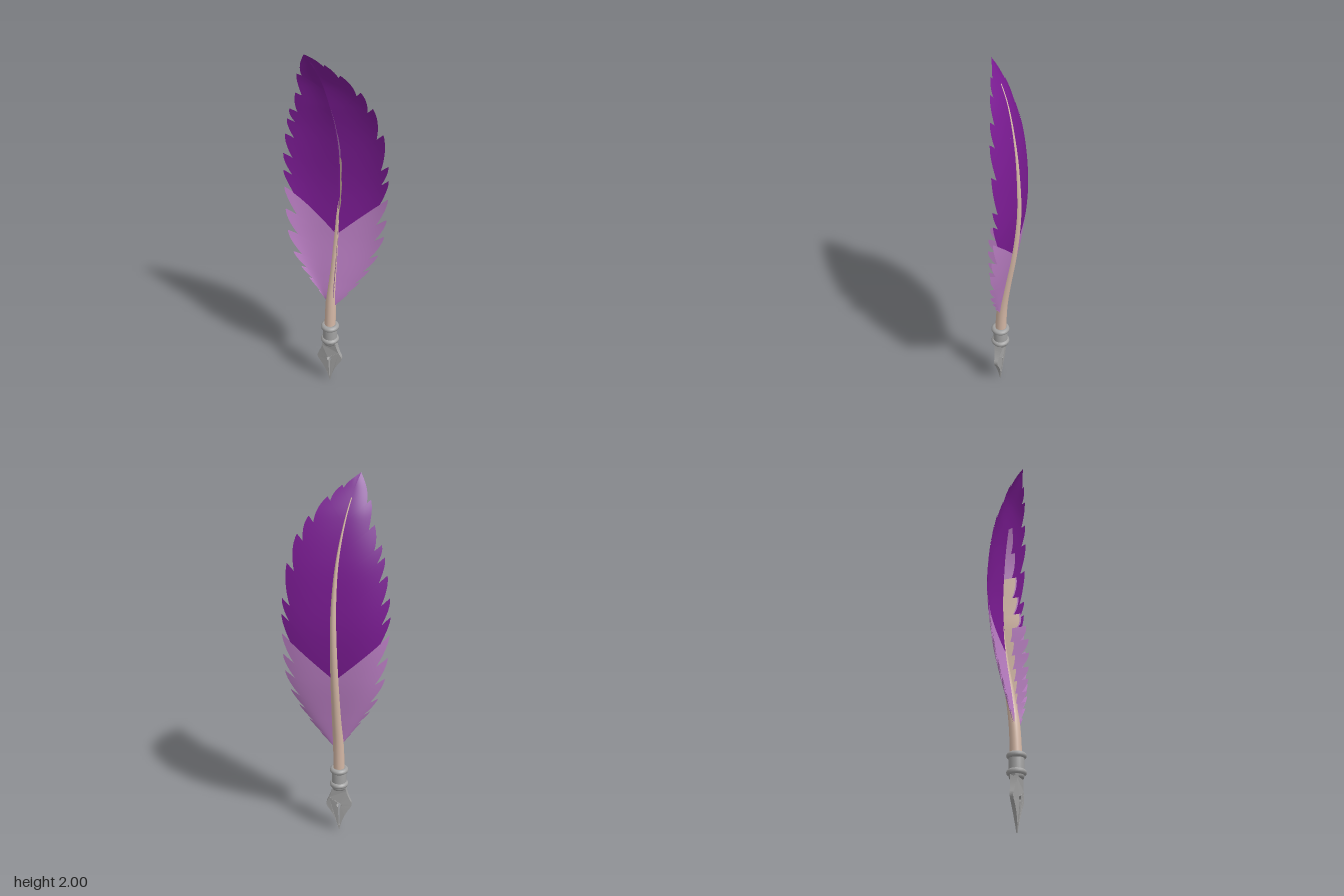
import * as THREE from 'three';
import { mergeGeometries, mergeVertices } from 'three/addons/utils/BufferGeometryUtils.js';

// Smooth lookup in rows [key, a, b, ...]
function sample(rows, k) {
  let i = 0;
  while (i < rows.length - 2 && k > rows[i + 1][0]) i++;
  const p = rows[i], q = rows[i + 1];
  const o = rows[Math.max(i - 1, 0)], r = rows[Math.min(i + 2, rows.length - 1)];
  const h = q[0] - p[0], t = THREE.MathUtils.clamp((k - p[0]) / h, 0, 1);
  return p.slice(1).map((v, n) => {
    const c = n + 1;
    const m0 = h * (q[c] - o[c]) / (q[0] - o[0]), m1 = h * (r[c] - v) / (r[0] - p[0]);
    const t2 = t * t, t3 = t2 * t;
    return (2 * t3 - 3 * t2 + 1) * v + (t3 - 2 * t2 + t) * m0 + (3 * t2 - 2 * t3) * q[c] + (t3 - t2) * m1;
  });
}

// Grid surface from point(u, v)
function sheet(nu, nv, point) {
  const pos = [], idx = [];
  for (let i = 0; i <= nu; i++) {
    for (let j = 0; j <= nv; j++) pos.push(...point(i / nu, j / nv));
  }
  for (let i = 0; i < nu; i++) {
    for (let j = 0; j < nv; j++) {
      const a = i * (nv + 1) + j, b = a + nv + 1;
      idx.push(a, b, a + 1, b, b + 1, a + 1);
    }
  }
  const g = new THREE.BufferGeometry();
  g.setAttribute('position', new THREE.Float32BufferAttribute(pos, 3));
  g.setIndex(idx);
  g.computeVertexNormals();
  return g;
}

// Shaft: y, centre x, centre z, radius
const SHAFT = [
  [0.35, -0.012, 0.022, 0.031], [0.55, -0.008, 0.01, 0.029], [0.7, -0.001, -0.014, 0.025],
  [0.95, 0.006, -0.057, 0.021], [1.2, 0.01, -0.082, 0.017], [1.4, 0.007, -0.078, 0.013],
  [1.6, -0.009, -0.055, 0.008], [1.8, -0.045, -0.004, 0.004], [1.94, -0.085, 0.065, 0.002], [2.0, -0.11, 0.1, 0.001],
];

// Vane edges: root y, edge x, edge y
const LEFT_EDGE = [
  [0.52, 0.03, 0.54], [0.6, 0.15, 0.7], [0.7, 0.235, 0.86], [0.8, 0.268, 1.0], [0.95, 0.275, 1.2], [1.15, 0.272, 1.39],
  [1.32, 0.248, 1.56], [1.47, 0.208, 1.69], [1.62, 0.14, 1.8], [1.77, 0.05, 1.89], [1.87, -0.03, 1.95], [1.94, -0.11, 2.0],
];
const RIGHT_EDGE = [
  [0.52, -0.03, 0.55], [0.6, -0.12, 0.67], [0.7, -0.205, 0.8], [0.8, -0.252, 0.95], [0.95, -0.272, 1.2], [1.15, -0.272, 1.38],
  [1.32, -0.252, 1.53], [1.47, -0.23, 1.64], [1.62, -0.185, 1.76], [1.77, -0.165, 1.87], [1.87, -0.14, 1.94], [1.94, -0.11, 2.0],
];
// Root heights where the vane splits into separate barbs
const LEFT_SPLITS = [0.52, 0.56, 0.6, 0.65, 0.71, 0.79, 0.86, 0.95, 1.06, 1.15, 1.33, 1.5, 1.62, 1.77, 1.86, 1.94];
const RIGHT_SPLITS = [0.52, 0.56, 0.61, 0.66, 0.72, 0.8, 0.87, 0.95, 1.05, 1.17, 1.3, 1.42, 1.5, 1.62, 1.78, 1.94];
const COLOUR_SPLIT = 0.95;
const THICKNESS = 0.018;

// One face of a barb: longest at its upper side, cut back at its lower side
function barb(edge, from, to, curl, lift) {
  const depth = from < COLOUR_SPLIT ? 0.22 : 0.16;
  return sheet(8, 8, (u, v) => {
    const k = THREE.MathUtils.lerp(from, to, u);
    const [rx] = sample(SHAFT, k), [ex, ey] = sample(edge, k);
    const f = v * (1 - depth * (1 - u) ** 2);
    const y = k + (ey - k) * f;
    const bend = curl * f ** 3 * Math.abs(ex - rx) / 0.28;
    const puff = lift * (1 - 0.8 * f) * Math.min(1, (2.02 - y) * 3);
    return [rx + (ex - rx) * f, y, sample(SHAFT, y)[1] + bend + puff];
  });
}

function vane(edge, splits, curl, dark) {
  const parts = [];
  for (let i = 0; i < splits.length - 1; i++) {
    if ((splits[i] >= COLOUR_SPLIT) !== dark) continue;
    for (const lift of [0, THICKNESS]) parts.push(barb(edge, splits[i], splits[i + 1], curl, lift));
  }
  return mergeGeometries(parts);
}

// Ridge standing forward from the vane: y, front x, front z
const RIDGE = [
  [0.56, 0.01, 0.035], [0.66, 0.022, 0.052], [0.76, 0.032, 0.066], [0.9, 0.042, 0.07], [1.02, 0.046, 0.068],
  [1.12, 0.048, 0.052], [1.2, 0.05, 0.02], [1.3, 0.05, 0.01], [1.45, 0.042, 0.0], [1.6, 0.014, 0.0], [1.7, -0.015, 0.0],
];
function ridgeTooth(from, to, inner, outer) {
  return sheet(5, 4, (u, v) => {
    const y = THREE.MathUtils.lerp(from, to, u);
    const [x, z] = sample(SHAFT, y), [fx, fz] = sample(RIDGE, y);
    const w = THREE.MathUtils.lerp(inner, outer, v) * (1 - 0.3 * (1 - u) ** 2);
    return [x + (fx - x) * w, y - 0.02 * (1 - w), z + (fz - z) * w];
  });
}

export function createModel() {
  const group = new THREE.Group();
  const mat = (name, color, side = THREE.FrontSide) => {
    const m = new THREE.MeshStandardMaterial({ color, side });
    m.name = name;
    return m;
  };
  const dark = mat('deep purple', 0x7a1b92, THREE.DoubleSide);
  const light = mat('light purple', 0xba7ec3, THREE.DoubleSide);
  const tan = mat('quill tan', 0xd5b8a6, THREE.DoubleSide);
  const metal = mat('metal grey', 0xa2a2a2);
  const add = (name, geometry, material) => {
    const mesh = new THREE.Mesh(geometry, material);
    mesh.name = name;
    group.add(mesh);
    return mesh;
  };

  // Feather vanes
  for (const [side, edge, splits, curl] of [
    ['left', LEFT_EDGE, LEFT_SPLITS, 0.03], ['right', RIGHT_EDGE, RIGHT_SPLITS, 0.055],
  ]) {
    add(side + 'UpperVane', vane(edge, splits, curl, true), dark);
    add(side + 'LowerVane', vane(edge, splits, curl, false), light);
  }

  // Central ridge: tan base with light barbs in front
  const base = [], tips = [];
  const cuts = [0.56, 0.62, 0.68, 0.74, 0.81, 0.88, 0.96, 1.04, 1.12, 1.2, 1.3, 1.42, 1.56, 1.7];
  for (let i = 0; i < cuts.length - 1; i++) {
    let split = 0.45;
    if (cuts[i] >= 1.12) split = cuts[i] < 1.42 ? 0.92 : 0.25;
    base.push(ridgeTooth(cuts[i], cuts[i + 1], 0, split));
    tips.push(ridgeTooth(cuts[i], cuts[i + 1], split, 1));
  }
  add('ridgeBase', mergeGeometries(base), tan);
  add('ridgeBarbs', mergeGeometries(tips), light);

  // Curved tapering shaft
  let shaft = new THREE.CylinderGeometry(1, 1, 1, 14, 40);
  shaft.deleteAttribute('uv');
  shaft.deleteAttribute('normal');
  const p = shaft.attributes.position;
  for (let i = 0; i < p.count; i++) {
    const y = 0.35 + (p.getY(i) + 0.5) * 1.54;
    const [cx, cz, r] = sample(SHAFT, y);
    p.setXYZ(i, cx + p.getX(i) * r, y, cz + p.getZ(i) * r);
  }
  shaft = mergeVertices(shaft);
  shaft.computeVertexNormals();
  add('shaft', shaft, tan);

  // Ferrule with two rounded rings
  const profile = [[0, 0.27], [0.036, 0.27], [0.04, 0.285], [0.04, 0.39], [0.036, 0.4], [0, 0.4]];
  add('ferrule', new THREE.LatheGeometry(profile.map(([x, y]) => new THREE.Vector2(x, y)), 24), metal)
    .position.set(-0.011, 0, 0.022);
  for (const y of [0.3, 0.386]) {
    const ring = add('ferruleRing', new THREE.TorusGeometry(0.035, 0.016, 10, 28), metal);
    ring.rotation.x = Math.PI / 2;
    ring.position.set(-0.011, y, 0.022);
  }

  // Nib with breather hole and slit, thinned towards its point and edges
  const outline = new THREE.Shape();
  outline.moveTo(0, 0);
  outline.quadraticCurveTo(0.018, 0.09, 0.058, 0.145);
  outline.quadraticCurveTo(0.078, 0.17, 0.064, 0.195);
  outline.quadraticCurveTo(0.043, 0.235, 0.036, 0.285);
  outline.lineTo(-0.036, 0.285);
  outline.quadraticCurveTo(-0.043, 0.235, -0.064, 0.195);
  outline.quadraticCurveTo(-0.078, 0.17, -0.058, 0.145);
  outline.quadraticCurveTo(-0.018, 0.09, 0, 0);
  const hole = new THREE.Path();
  hole.moveTo(0.002, 0.035);
  hole.lineTo(0.005, 0.15);
  hole.absarc(0, 0.168, 0.014, -1.2, Math.PI + 1.2, false);
  hole.lineTo(-0.005, 0.15);
  hole.lineTo(-0.002, 0.035);
  outline.holes.push(hole);
  const nib = new THREE.ExtrudeGeometry(outline, { depth: 2, bevelEnabled: false, curveSegments: 8 });
  const n = nib.attributes.position;
  for (let i = 0; i < n.count; i++) {
    const half = (0.003 + 0.025 * n.getY(i) / 0.28) * (1 - 7 * Math.abs(n.getX(i)));
    n.setZ(i, (n.getZ(i) - 1) * half);
  }
  nib.computeVertexNormals();
  add('nib', nib, metal).position.set(-0.011, 0, 0.024);

  return group;
}
